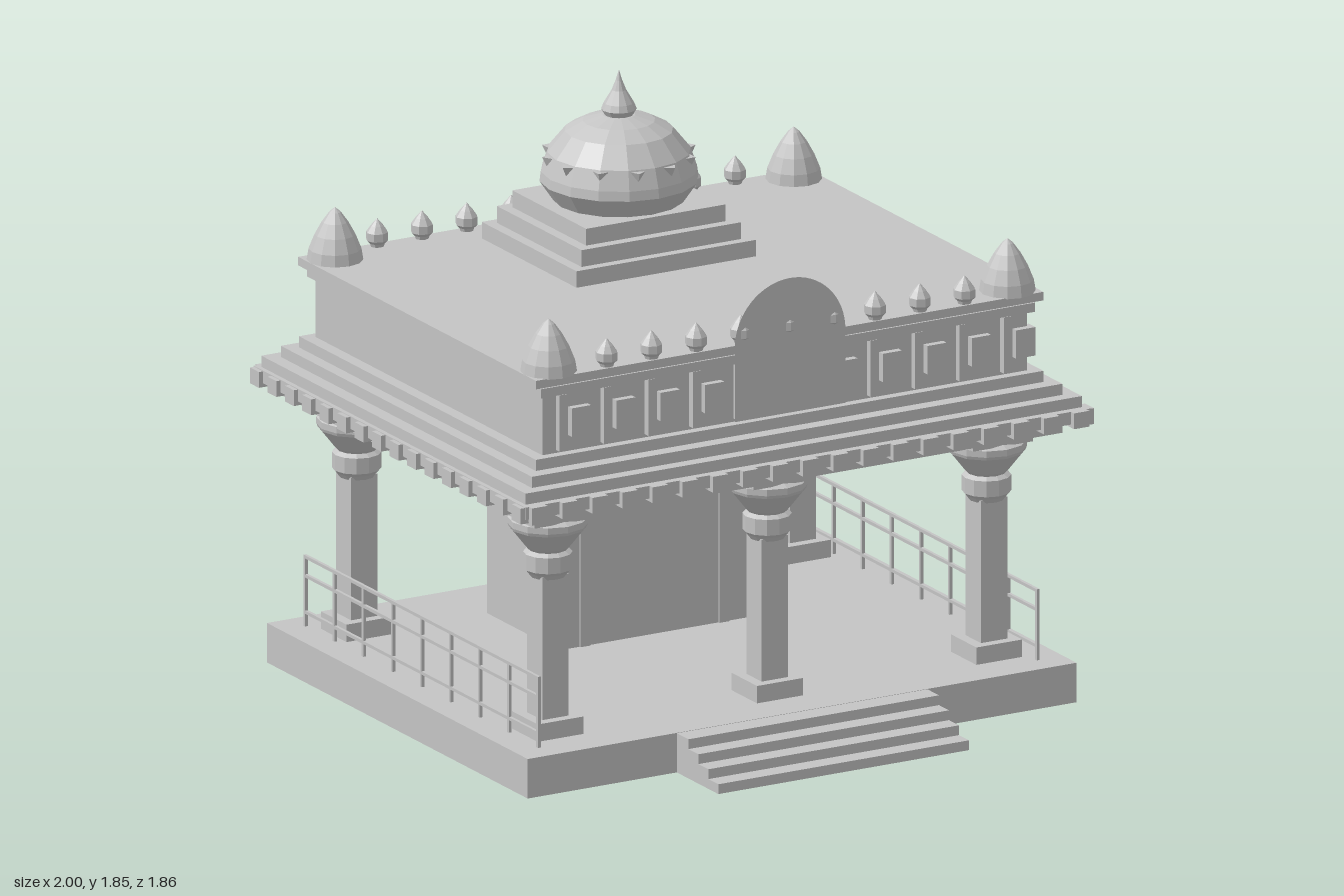
import * as THREE from 'three';

export function createModel() {
  const root = new THREE.Group();
  root.name = 'pavilion';
  const stone = new THREE.MeshStandardMaterial({ color: 0xc4c4c4, flatShading: true, side: THREE.DoubleSide });
  stone.name = 'grey stone';

  const add = (name, geo, parent = root) => {
    const m = new THREE.Mesh(geo, stone);
    m.name = name;
    parent.add(m);
    return m;
  };
  // box given by its limits on each axis
  const box = (name, x0, x1, y0, y1, z0, z1, parent = root) => {
    const m = add(name, new THREE.BoxGeometry(x1 - x0, y1 - y0, z1 - z0), parent);
    m.position.set((x0 + x1) / 2, (y0 + y1) / 2, (z0 + z1) / 2);
    return m;
  };
  // turned piece from [radius, height] pairs, bottom to top
  const turned = (name, pts, sides, x, z, parent = root) => {
    const m = add(name, new THREE.LatheGeometry(pts.map(p => new THREE.Vector2(...p)), sides), parent);
    m.position.set(x, 0, z);
    return m;
  };
  const group = name => {
    const g = new THREE.Group();
    g.name = name;
    root.add(g);
    return g;
  };

  // plinth and front steps
  box('plinth', -0.957, 0.957, 0, 0.125, -0.888, 0.68);
  const steps = group('steps');
  for (let i = 0; i < 4; i++)
    box('step', -0.437, 0.437, i * 0.031, (i + 1) * 0.031, 0.67, 0.93 - i * 0.06, steps);

  // inner chamber with door frame
  box('chamber', -0.333, 0.333, 0.125, 0.735, -0.64, -0.21);
  const frame = group('doorFrame');
  for (const s of [-1, 1]) {
    const a = s * 0.225, b = s * 0.26;
    box('jamb', Math.min(a, b), Math.max(a, b), 0.125, 0.685, -0.211, -0.204, frame);
  }
  box('lintel', -0.225, 0.225, 0.665, 0.685, -0.211, -0.204, frame);

  // columns: square shaft, turned capital, square abacus
  const capital = [[0, 0.62], [0.055, 0.62], [0.066, 0.635], [0.075, 0.645], [0.075, 0.695],
    [0.06, 0.705], [0.07, 0.715], [0.118, 0.775], [0.122, 0.785], [0.122, 0.805], [0.1, 0.815], [0, 0.815]];
  for (const x of [-0.765, 0, 0.765]) for (const z of [0.47, -0.68]) {
    const c = group('column');
    box('columnBase', x - 0.08, x + 0.08, 0.125, 0.18, z - 0.077, z + 0.077, c);
    box('columnShaft', x - 0.046, x + 0.046, 0.18, 0.63, z - 0.046, z + 0.046, c);
    turned('capital', capital, 12, x, z, c);
    box('abacus', x - 0.105, x + 0.105, 0.81, 0.855, z - 0.1, z + 0.1, c);
  }

  // side railings
  for (const s of [-1, 1]) {
    const r = group('railing');
    const x = s * 0.87, t = 0.005;
    for (let i = 0; i < 9; i++) {
      const z = 0.595 - i * 0.175;
      box('railPost', x - t, x + t, 0.125, 0.35, z - t, z + t, r);
    }
    for (const y of [0.17, 0.285, 0.345])
      box('rail', x - t, x + t, y - t, y + t, -0.805, 0.595, r);
  }

  // stepped eaves, main block and cornice: half width, bottom, top, back, front
  [['architrave', 0.925, 0.85, 0.89, -0.853, 0.65],
    ['eaveSlab', 0.985, 0.895, 0.935, -0.92, 0.715],
    ['eaveSoffit', 0.955, 0.885, 0.9, -0.89, 0.685],
    ['lowerEave', 0.97, 0.935, 0.97, -0.9, 0.69],
    ['middleEave', 0.925, 0.97, 1.005, -0.86, 0.65],
    ['upperEave', 0.885, 1.005, 1.04, -0.82, 0.605],
    ['roofBlock', 0.845, 1.035, 1.27, -0.79, 0.575],
    ['lowerCornice', 0.862, 1.228, 1.257, -0.81, 0.595],
    ['upperCornice', 0.885, 1.263, 1.29, -0.825, 0.605],
  ].forEach(([n, w, y0, y1, z0, z1]) => box(n, -w, w, y0, y1, z0, z1));

  // dentils round the eave
  const dentils = group('dentils');
  for (let i = 0; i < 19; i++) {
    const x = -0.945 + i * 0.105;
    box('dentil', x - 0.027, x + 0.027, 0.885, 0.935, 0.67, 0.733, dentils);
    box('dentil', x - 0.027, x + 0.027, 0.885, 0.935, -0.93, -0.88, dentils);
  }
  for (let i = 0; i < 16; i++) for (const s of [-1, 1]) {
    const z = -0.89 + i * 0.105;
    const d = box('dentil', -0.03, 0.03, 0.883, 0.933, z - 0.027, z + 0.027, dentils);
    d.position.x = s * 0.97;
  }

  // frieze of panels and pilasters, front and back
  for (const [z, s] of [[0.575, 1], [-0.79, -1]]) {
    const f = group('frieze');
    for (let i = 0; i < 11; i++) {
      const x = -0.785 + i * 0.155;
      const pilaster = box('pilaster', x - 0.013, x + 0.013, 1.05, 1.228, -0.02, 0.02, f);
      const panel = box('panel', x + 0.03, x + 0.097, 1.09, 1.18, -0.02, 0.02, f);
      pilaster.position.z = panel.position.z = z + s * 0.002;
    }
  }

  // arched front plate
  const arch = new THREE.Shape();
  arch.moveTo(-0.193, 1.05);
  arch.lineTo(0.193, 1.05);
  arch.lineTo(0.193, 1.283);
  arch.absarc(0, 1.283, 0.193, 0, Math.PI);
  arch.closePath();
  add('archPlate', new THREE.ShapeGeometry(arch, 16)).position.z = 0.608;

  // corner spires and rows of small finials
  const spire = [[0.086, 1.288], [0.08, 1.325], [0.062, 1.37], [0.04, 1.41], [0.018, 1.44], [0, 1.455]];
  const finial = [[0.02, 1.288], [0.024, 1.3], [0.034, 1.31], [0.034, 1.335], [0.02, 1.355], [0, 1.378]];
  for (const x of [-0.8, 0.8]) for (const z of [0.535, -0.75]) turned('cornerSpire', spire, 12, x, z);
  for (let i = -4; i <= 4; i++) for (const z of [0.58, -0.8]) turned('finial', finial, 8, i * 0.156, z);

  // stepped dome base
  const cz = -0.422;
  [[0.313, 0.285], [0.278, 0.255], [0.243, 0.222]].forEach(([w, d], i) =>
    box('domeBase', -w, w, 1.285 + i * 0.053, 1.342 + i * 0.053, cz - d, cz + d));

  // dome with its crowning spire and ring of wedge ornaments
  turned('dome', [[0, 1.448], [0.2, 1.448], [0.242, 1.51], [0.238, 1.54], [0.218, 1.6], [0.165, 1.665],
    [0.11, 1.695], [0.05, 1.712], [0, 1.715]], 16, 0, cz);
  turned('domeSpire', [[0.04, 1.705], [0.054, 1.73], [0.046, 1.75], [0.022, 1.79], [0.01, 1.82], [0, 1.853]], 12, 0, cz);
  const wedges = group('domeWedges');
  for (let i = 0; i < 12; i++) {
    const a = (i + 0.5) * Math.PI / 6;
    const w = add('wedge', new THREE.ConeGeometry(0.024, 0.05, 4), wedges);
    w.position.set(Math.sin(a) * 0.216, 1.57, cz + Math.cos(a) * 0.216);
    w.rotation.set(Math.PI, -a, 0);
  }
  return root;
}
